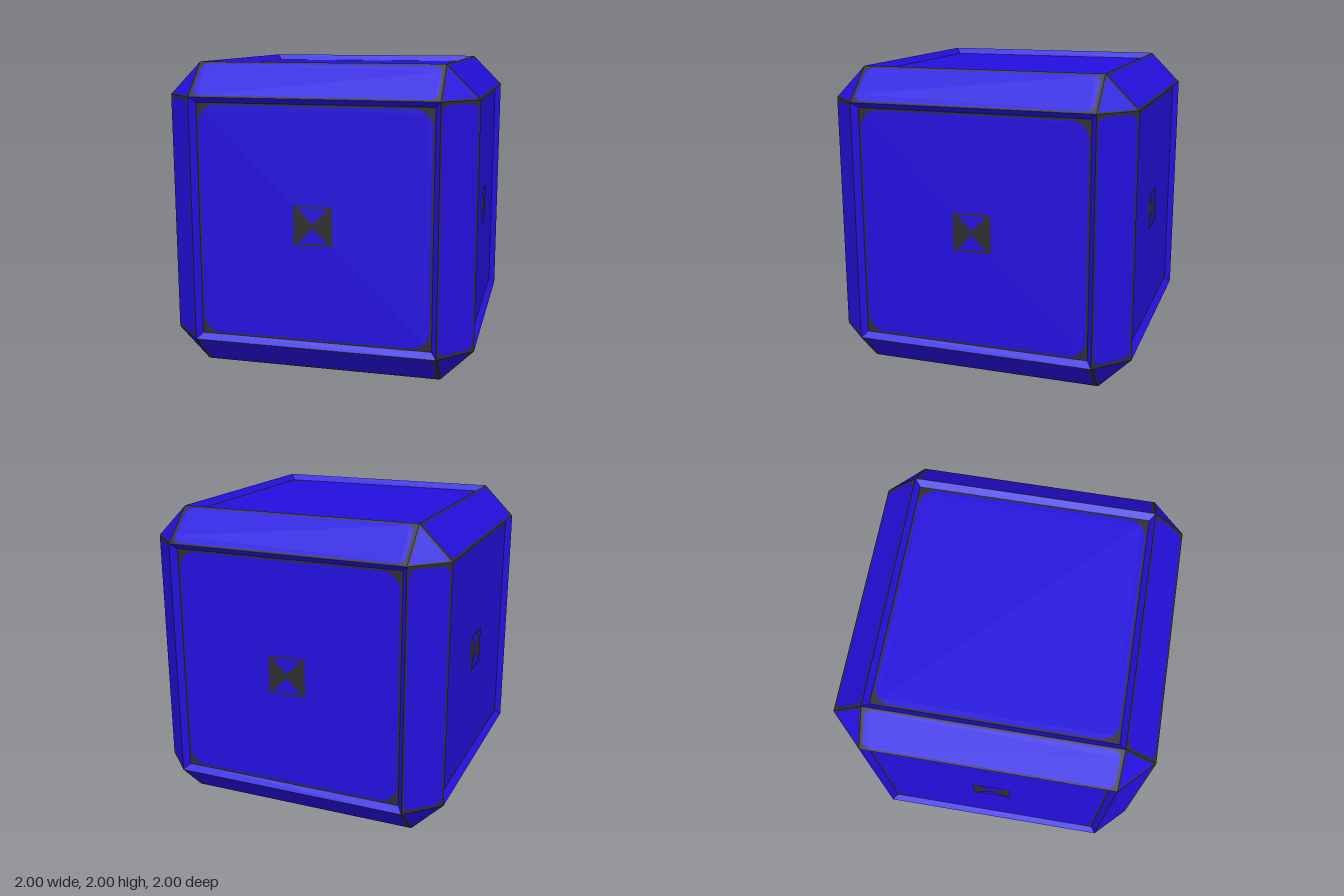
import * as THREE from 'three';

const HALF = 1;        // half size of the cube
const FLAT = 0.79;     // half size of each face inside the bevels
const FLOOR = 0.755;   // half size of the sunken panel
const DEPTH = 0.04;    // how far the panel is sunk

const blue = new THREE.MeshStandardMaterial({ color: 0x240fde });
blue.name = 'royalBlue';
const dark = new THREE.MeshStandardMaterial({ color: 0x2e2e33 });
dark.name = 'charcoal';

const polygon = (pts) => pts.map(([x, y]) => new THREE.Vector2(x, y));
const rect = (w, h) => polygon([[-w, -h], [w, -h], [w, h], [-w, h]]);

// Triangle with one point up
function triangle(r) {
  return polygon([90, 210, 330].map((d) => {
    const a = THREE.MathUtils.degToRad(d);
    return [Math.cos(a) * r, Math.sin(a) * r];
  }));
}

// Rectangle with rounded corners
function roundedRect(w, h, r) {
  const pts = [];
  [[1, 1], [-1, 1], [-1, -1], [1, -1]].forEach(([sx, sy], q) => {
    for (let i = 0; i <= 5; i++) {
      const a = (q + i / 5) * Math.PI / 2;
      pts.push([sx * (w - r) + Math.cos(a) * r, sy * (h - r) + Math.sin(a) * r]);
    }
  });
  return polygon(pts);
}

// Square with notched corners
function notchedSquare(h) {
  const pts = [];
  for (let q = 0; q < 4; q++) {
    for (const [x, y] of [[h, h - 0.09], [h - 0.03, h - 0.035], [h - 0.035, h - 0.03], [h - 0.09, h]]) {
      const p = new THREE.Vector2(x, y).rotateAround(new THREE.Vector2(), q * Math.PI / 2);
      pts.push([p.x, p.y]);
    }
  }
  return polygon(pts);
}

function flat(name, outline, material, holes = []) {
  const shape = new THREE.Shape(outline);
  holes.forEach((h) => shape.holes.push(new THREE.Path(h)));
  const mesh = new THREE.Mesh(new THREE.ShapeGeometry(shape), material);
  mesh.name = name;
  return mesh;
}

// Blue panel inside a dark border, in one plane
function framedPanel(name, outer, inner) {
  const group = new THREE.Group();
  group.name = name;
  group.add(flat(name + 'Trim', outer, dark, [inner]), flat(name + 'Panel', inner, blue));
  return group;
}

// Sloping inner walls around the sunken panel
function recessWalls() {
  const r = Math.SQRT2;
  let geo = new THREE.CylinderGeometry(FLAT * r, FLOOR * r, DEPTH, 4, 1, true);
  geo.rotateY(Math.PI / 4).rotateX(Math.PI / 2);
  geo.index.array.reverse();
  geo = geo.toNonIndexed();
  geo.computeVertexNormals();
  const mesh = new THREE.Mesh(geo, blue);
  mesh.name = 'recessWalls';
  mesh.position.z = HALF - DEPTH / 2;
  return mesh;
}

// Square badge with two blue triangles left open
function emblem() {
  const hole = (s) => polygon([[-0.098, s * 0.113], [0.098, s * 0.113], [0, s * 0.015]]);
  const mesh = flat('emblem', rect(0.125, 0.125), dark, [hole(1), hole(-1)]);
  mesh.position.z = HALF - DEPTH + 0.004;
  return mesh;
}

function cubeFace(name, hasEmblem) {
  const group = new THREE.Group();
  group.name = name;
  const floor = framedPanel('sunkenFace', rect(FLOOR, FLOOR), notchedSquare(FLOOR - 0.013));
  floor.position.z = HALF - DEPTH;
  group.add(floor, recessWalls());
  if (hasEmblem) group.add(emblem());
  return group;
}

export function createModel() {
  const model = new THREE.Group();
  model.name = 'bevelledCube';
  const cube = new THREE.Group();
  cube.name = 'cube';
  cube.position.y = HALF;

  // Six faces: emblems on the four sides only
  ['frontFace', 'leftFace', 'backFace', 'rightFace'].forEach((name, i) => {
    const face = cubeFace(name, true);
    face.rotation.y = i * Math.PI / 2;
    cube.add(face);
  });
  [['topFace', -1], ['bottomFace', 1]].forEach(([name, s]) => {
    const face = cubeFace(name, false);
    face.rotation.x = s * Math.PI / 2;
    cube.add(face);
  });

  // Twelve edge bevels
  const mid = (HALF + FLAT) / 2;
  const halfWidth = (HALF - FLAT) / Math.SQRT2;
  for (let axis = 0; axis < 3; axis++) {
    for (const a of [-1, 1]) for (const b of [-1, 1]) {
      const bevel = framedPanel('edgeBevel', rect(halfWidth, FLAT),
        roundedRect(halfWidth - 0.014, FLAT - 0.02, 0.05));
      bevel.position.setComponent((axis + 1) % 3, a * mid);
      bevel.position.setComponent((axis + 2) % 3, b * mid);
      bevel.up.set(0, 0, 0).setComponent(axis, 1);
      bevel.lookAt(bevel.position.clone().multiplyScalar(2));
      cube.add(bevel);
    }
  }

  // Eight corner triangles
  const c = (HALF + 2 * FLAT) / 3;
  const radius = (HALF - FLAT) * Math.SQRT2 / Math.sqrt(3);
  for (const x of [-1, 1]) for (const y of [-1, 1]) for (const z of [-1, 1]) {
    const corner = framedPanel('cornerBevel', triangle(radius), triangle(radius - 0.02));
    corner.position.set(x * c, y * c, z * c);
    corner.up.set(0, y, 0);
    corner.lookAt(corner.position.clone().multiplyScalar(2));
    cube.add(corner);
  }

  model.add(cube);
  return model;
}
